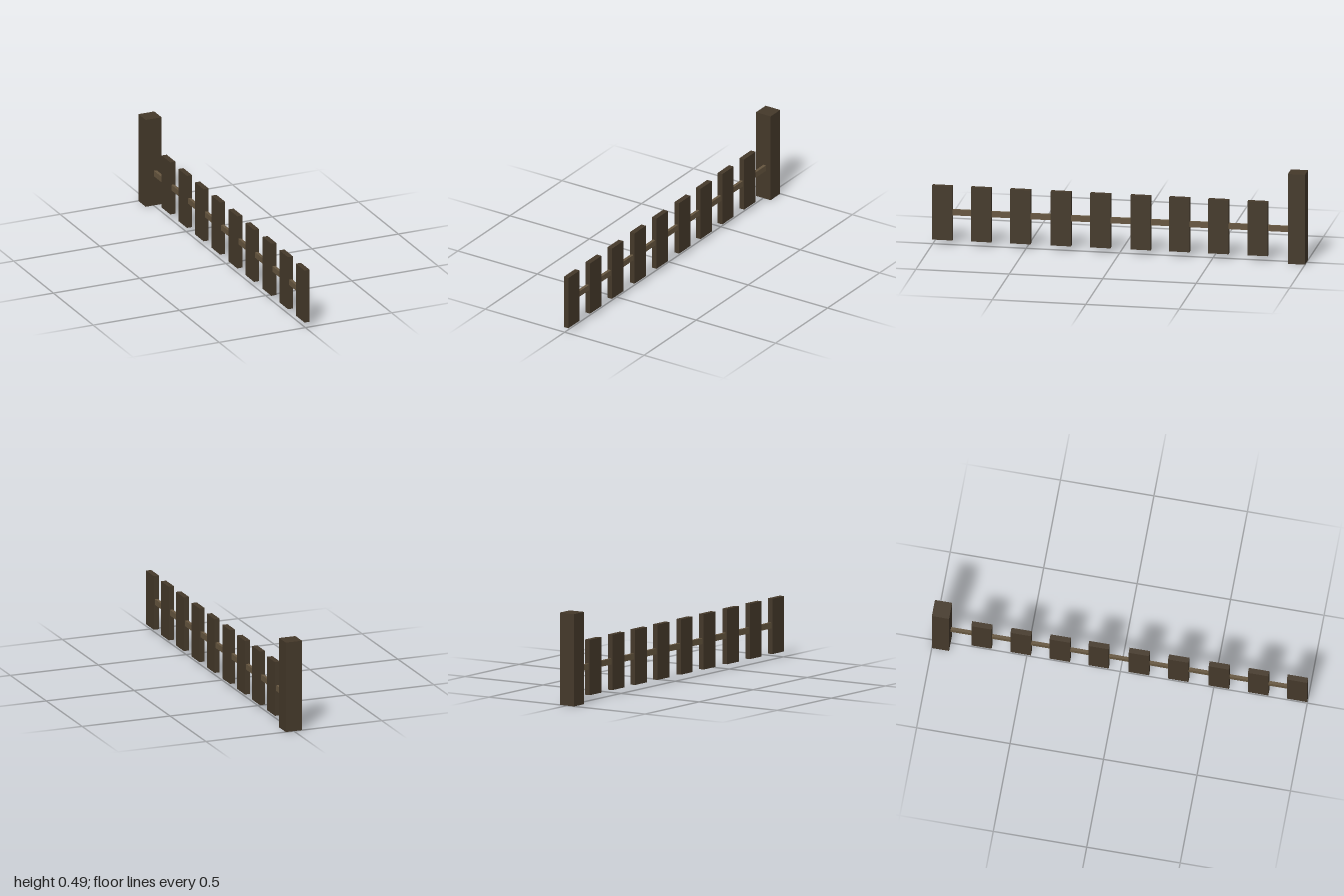
import * as THREE from 'three';

export function createModel() {
  const group = new THREE.Group();
  const darkWood = new THREE.MeshStandardMaterial({ color: 0x45392a });
  const lightWood = new THREE.MeshStandardMaterial({ color: 0x66563f });

  function addBox(name, material, size, position) {
    const mesh = new THREE.Mesh(new THREE.BoxGeometry(...size), material);
    mesh.name = name;
    mesh.position.set(...position);
    group.add(mesh);
  }

  // Square end post
  addBox('post', darkWood, [0.092, 0.492, 0.092], [0, 0.246, -0.954]);

  // Thin rail running through all the pickets into the post
  addBox('rail', lightWood, [0.016, 0.031, 1.85], [0.0095, 0.181, 0.015]);

  // Slightly unevenly spaced pickets, front to back
  const picketZ = [0.946, 0.738, 0.528, 0.311, 0.1, -0.116, -0.323, -0.532, -0.742];
  picketZ.forEach((z, i) => {
    addBox(`picket${i + 1}`, darkWood, [0.029, 0.295, 0.109], [0.0095, 0.177, z]);
  });

  return group;
}
